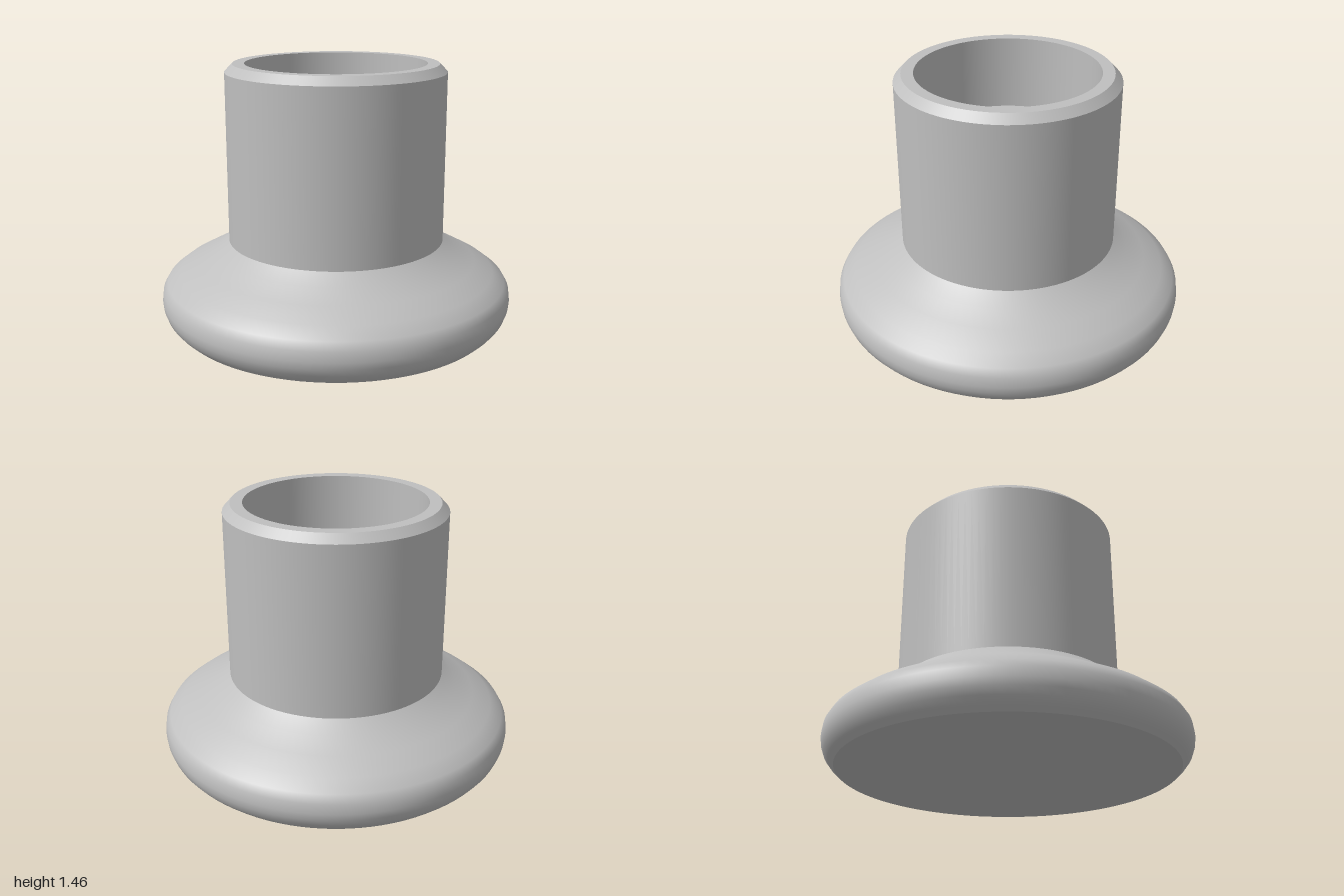
import * as THREE from 'three';

export function createModel() {
  const model = new THREE.Group();
  const grey = new THREE.MeshStandardMaterial({ color: 0xbfbfbf });
  grey.name = 'plain grey';

  // One turned surface; separate surfaces keep the edges between them sharp
  const turn = (name, profile) => {
    const points = profile.map(([r, y]) => new THREE.Vector2(r, y));
    const mesh = new THREE.Mesh(new THREE.LatheGeometry(points, 96), grey);
    mesh.name = name;
    model.add(mesh);
  };

  // Rounded base flange
  turn('baseUnderside', [[0, 0], [0.925, 0]]);
  turn('baseFlange', [
    [0.925, 0], [0.955, 0.028], [0.98, 0.06], [0.995, 0.1], [1, 0.14],
    [0.993, 0.195], [0.968, 0.238], [0.9, 0.29], [0.795, 0.347],
    [0.69, 0.403], [0.613, 0.465],
  ]);

  // Straight neck with a bevelled rim
  turn('neck', [[0.613, 0.465], [0.613, 1.418]]);
  turn('rimBevel', [[0.613, 1.418], [0.57, 1.463]]);
  turn('rim', [[0.57, 1.463], [0.503, 1.463]]);

  // Wide socket in the neck
  turn('socketWall', [[0.503, 1.463], [0.503, 1.04]]);
  turn('socketFloor', [[0.503, 1.04], [0.278, 1.04]]);

  // Countersunk blind hole in the socket floor
  turn('holeBevel', [[0.278, 1.04], [0.233, 0.995]]);
  turn('holeWall', [[0.233, 0.995], [0.233, 0.46]]);
  turn('holeFloor', [[0.233, 0.46], [0, 0.46]]);

  return model;
}
